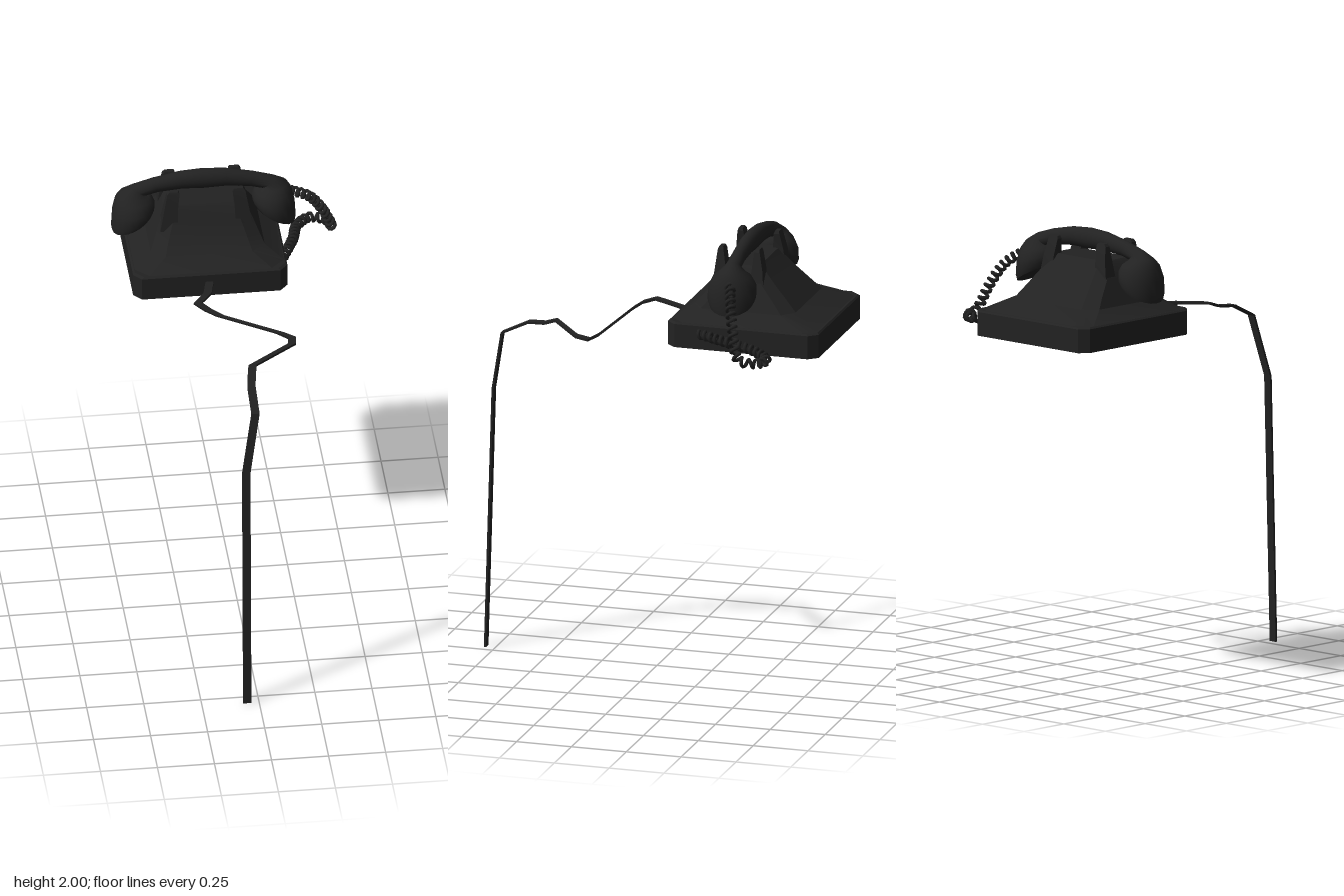
import * as THREE from 'three';
import { toCreasedNormals } from 'three/addons/utils/BufferGeometryUtils.js';

const V = (x, y, z) => new THREE.Vector3(x, y, z);

// Closed solid through a list of equal-length rings, capped at both ends
function loft(rings, crease = 0.6) {
  const n = rings[0].length, pos = [];
  const centre = r => r.reduce((s, p) => s.add(p), V(0, 0, 0)).divideScalar(n);
  const tris = [];
  for (let i = 0; i < rings.length - 1; i++) {
    for (let j = 0; j < n; j++) {
      const k = (j + 1) % n, a = rings[i], b = rings[i + 1];
      tris.push([a[j], a[k], b[j]], [a[k], b[k], b[j]]);
    }
  }
  const first = rings[0], last = rings[rings.length - 1];
  const c0 = centre(first), c1 = centre(last);
  for (let j = 0; j < n; j++) {
    const k = (j + 1) % n;
    tris.push([c0, first[k], first[j]], [c1, last[j], last[k]]);
  }
  // Turn the faces outward if the rings run the other way
  const volume = tris.reduce((s, [a, b, c]) => s + a.clone().sub(c0).dot(b.clone().sub(c0).cross(c.clone().sub(c0))), 0);
  for (const [a, b, c] of tris) {
    for (const p of volume < 0 ? [a, c, b] : [a, b, c]) pos.push(p.x, p.y, p.z);
  }
  const g = new THREE.BufferGeometry();
  g.setAttribute('position', new THREE.Float32BufferAttribute(pos, 3));
  return toCreasedNormals(g, crease);
}

// Horizontal rectangle with cut corners: half width, front z, back z, cut in x and z
function cutRing(y, w, zf, zb, cx, cz) {
  return [
    [w - cx, zf], [w, zf - cz], [w, zb + cz], [w - cx, zb],
    [-w + cx, zb], [-w, zb + cz], [-w, zf - cz], [-w + cx, zf],
  ].map(([x, z]) => V(x, y, z));
}

export function createModel() {
  const black = new THREE.MeshStandardMaterial({ color: 0x222222 });
  black.name = 'black';
  const model = new THREE.Group();
  model.name = 'telephone';
  const phone = new THREE.Group();
  phone.name = 'phone';
  phone.position.x = -0.1;
  model.add(phone);

  const add = (parent, name, geometry) => {
    const m = new THREE.Mesh(geometry, black);
    m.name = name;
    parent.add(m);
  };

  // Base slab
  add(phone, 'base', loft([
    cutRing(1.535, 0.338, -0.113, -0.8, 0.035, 0.04),
    cutRing(1.64, 0.338, -0.113, -0.8, 0.035, 0.04),
    cutRing(1.647, 0.33, -0.12, -0.793, 0.035, 0.04),
  ], 0.4));

  // Flared body
  add(phone, 'body', loft([
    cutRing(1.645, 0.33, -0.122, -0.79, 0.06, 0.06),
    cutRing(1.695, 0.25, -0.195, -0.66, 0.06, 0.05),
    cutRing(1.74, 0.228, -0.24, -0.615, 0.055, 0.045),
    cutRing(1.805, 0.2, -0.282, -0.55, 0.05, 0.04),
    cutRing(1.87, 0.165, -0.31, -0.49, 0.035, 0.025),
    cutRing(1.88, 0.155, -0.32, -0.482, 0.035, 0.025),
  ], 0.4));

  // Four cradle prongs
  const box = (x, y, z, w, d) => [V(x - w, y, z + d), V(x + w, y, z + d), V(x + w, y, z - d), V(x - w, y, z - d)];
  for (const s of [-1, 1]) {
    for (const [zLow, zTip] of [[-0.315, -0.312], [-0.482, -0.477]]) {
      add(phone, 'cradleProng', loft([
        box(s * 0.165, 1.77, zLow, 0.038, 0.035),
        box(s * 0.155, 1.87, zLow, 0.03, 0.024),
        box(s * 0.144, 1.945, zTip, 0.027, 0.013),
        box(s * 0.142, 1.957, zTip, 0.02, 0.009),
      ], 0.4));
    }
  }

  // Handset: sections from outer point to inner point, with half depth in z
  const half = [
    [-0.4, 1.715, -0.222, 1.808, 0.1],
    [-0.404, 1.74, -0.215, 1.825, 0.108],
    [-0.4, 1.81, -0.213, 1.85, 0.106],
    [-0.388, 1.87, -0.225, 1.875, 0.085],
    [-0.368, 1.905, -0.238, 1.885, 0.058],
    [-0.315, 1.938, -0.25, 1.888, 0.033],
    [-0.22, 1.968, -0.2, 1.9, 0.03],
    [-0.1, 1.993, -0.095, 1.91, 0.034],
  ];
  const mirrored = half.map(([ox, oy, ix, iy, w]) => [-ox, oy, -ix, iy, w]).reverse();
  const sections = [...half, [0, 2, 0, 1.906, 0.036], ...mirrored];
  add(phone, 'handset', loft(sections.map(([ox, oy, ix, iy, w]) => {
    const ring = [];
    for (let j = 0; j < 20; j++) {
      const a = j / 20 * Math.PI * 2, t = Math.cos(a) / 2;
      ring.push(V((ox + ix) / 2 + (ox - ix) * t, (oy + iy) / 2 + (oy - iy) * t, -0.407 + w * Math.sin(a)));
    }
    return ring;
  }), 0.8));

  // Coiled handset cord
  const path = new THREE.CatmullRomCurve3([
    V(0.28, 1.85, -0.42), V(0.37, 1.79, -0.45), V(0.435, 1.69, -0.48), V(0.475, 1.58, -0.52),
    V(0.46, 1.565, -0.59), V(0.395, 1.565, -0.62), V(0.325, 1.58, -0.54),
    V(0.295, 1.595, -0.42), V(0.225, 1.605, -0.25),
  ]);
  const turns = 30, steps = turns * 9, coil = [];
  for (let i = 0; i <= steps; i++) {
    const u = i / steps, a = u * turns * Math.PI * 2;
    const t = path.getTangentAt(u);
    const n = V(0.3, 0.3, 1).cross(t).normalize(), b = t.clone().cross(n);
    coil.push(path.getPointAt(u).addScaledVector(n, 0.018 * Math.cos(a)).addScaledVector(b, 0.018 * Math.sin(a)));
  }
  add(model, 'coiledCord', new THREE.TubeGeometry(new THREE.CatmullRomCurve3(coil), steps, 0.008, 6));

  // Flat line cord, trailing forward and hanging down
  const cord = [
    V(-0.1, 1.595, -0.15), V(-0.13, 1.62, 0), V(-0.18, 1.613, 0.06), V(-0.14, 1.605, 0.106),
    V(-0.09, 1.59, 0.135), V(0.16, 1.535, 0.215), V(0.21, 1.525, 0.245), V(0.203, 1.533, 0.305),
    V(0.012, 1.535, 0.455), V(0.002, 1.515, 0.51), V(-0.008, 1.51, 0.585), V(-0.005, 1.452, 0.705),
    V(-0.052, 1.18, 0.76), V(-0.052, 0, 0.795),
  ];
  add(model, 'lineCord', loft(cord.map((p, i) => {
    const a = cord[Math.max(i - 1, 0)], b = cord[Math.min(i + 1, cord.length - 1)];
    const n = V(0, b.z - a.z, a.y - b.y).normalize().multiplyScalar(0.005);
    if (i === cord.length - 1) n.y = 0;
    return [[-1, -1], [1, -1], [1, 1], [-1, 1]].map(([s, t]) => V(p.x + s * 0.018, p.y + t * n.y, p.z - 0 + t * n.z));
  }), 0.4));

  return model;
}
